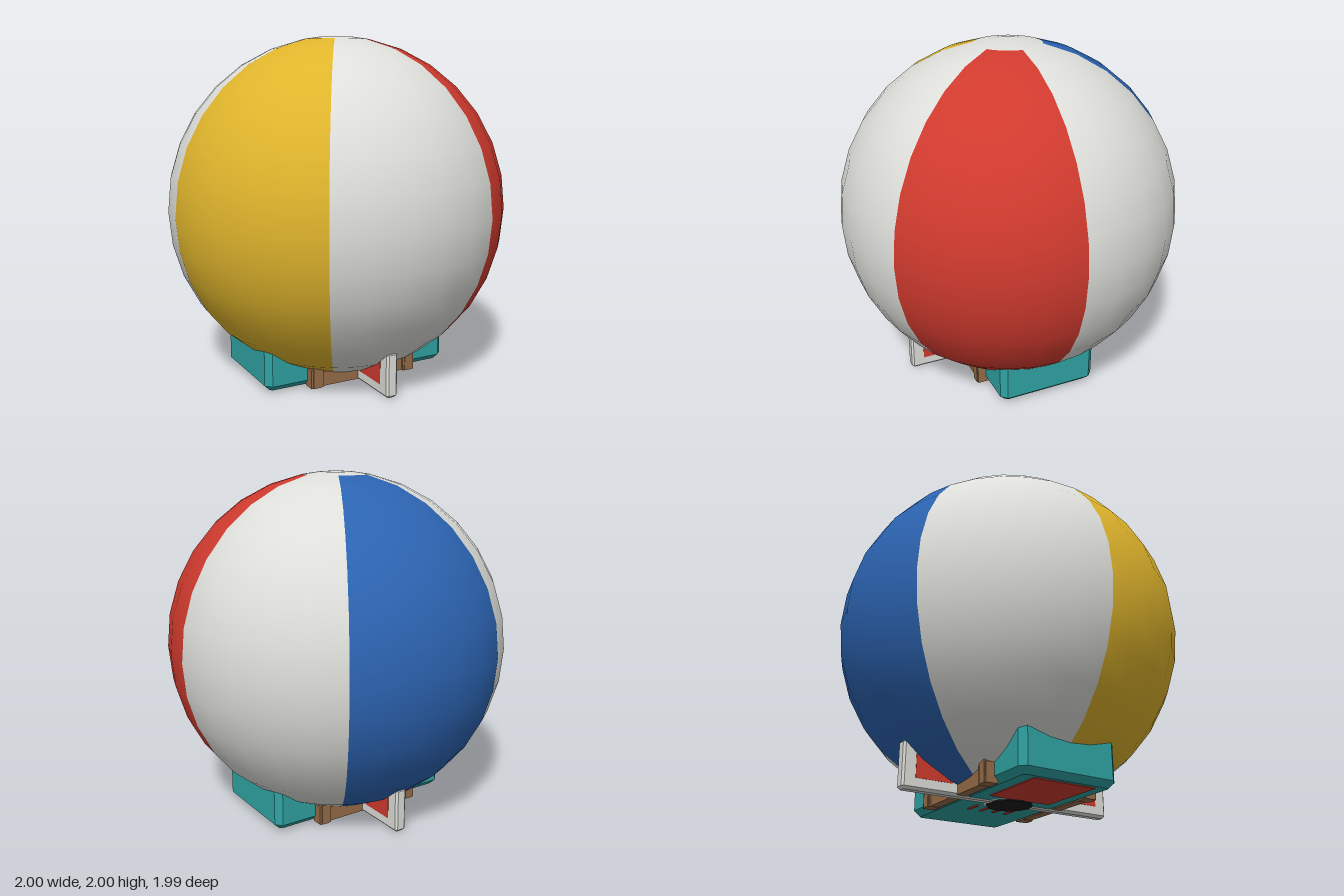
import * as THREE from 'three';

const mat = (name, color, side = THREE.FrontSide) => {
  const m = new THREE.MeshStandardMaterial({ color, side });
  m.name = name;
  return m;
};

// Box with cut corners in plan and bevelled rims, x/z half sizes, y range
function chamferBox(hx, hz, y0, y1, cut, bevel) {
  const w = hx - bevel, d = hz - bevel, c = Math.max(cut - bevel * 0.59, 0.002);
  const pts = [[w, -d + c], [w, d - c], [w - c, d], [-w + c, d],
    [-w, d - c], [-w, -d + c], [-w + c, -d], [w - c, -d]];
  const shape = new THREE.Shape(pts.map(([x, z]) => new THREE.Vector2(x, z)));
  const geo = new THREE.ExtrudeGeometry(shape, {
    depth: y1 - y0 - 2 * bevel, bevelEnabled: true, bevelSegments: 1,
    bevelSize: bevel, bevelThickness: bevel,
  });
  geo.rotateX(-Math.PI / 2);
  geo.translate(0, y0 + bevel, 0);
  return geo;
}

export function createModel() {
  const model = new THREE.Group();
  model.name = 'beachBallOnStand';
  const white = mat('white', 0xdededa);
  const red = mat('red', 0xd03a2e);
  const yellow = mat('yellow', 0xe0b52c);
  const blue = mat('blue', 0x2c64b2);
  const teal = mat('teal', 0x2fa3a3);
  const brown = mat('brown', 0x966c48);
  const black = mat('black', 0x1c1c1c);

  const add = (name, geo, material, x = 0, y = 0, z = 0, parent = model) => {
    const mesh = new THREE.Mesh(geo, material);
    mesh.name = name;
    mesh.position.set(x, y, z);
    parent.add(mesh);
    return mesh;
  };

  // Ball: six gores and two round caps
  const ball = new THREE.Group();
  ball.name = 'ball';
  ball.position.y = 1;
  model.add(ball);
  const ring = Math.PI / 16;
  [yellow, white, red, white, blue, white].forEach((m, i) => {
    const gore = new THREE.SphereGeometry(1, 5, 14, i * Math.PI / 3, Math.PI / 3, ring, Math.PI - 2 * ring);
    add('ballPanel' + (i + 1), gore, m, 0, 0, 0, ball);
  });
  add('topCap', new THREE.SphereGeometry(1, 30, 1, 0, Math.PI * 2, 0, ring), white, 0, 0, 0, ball);
  add('bottomCap', new THREE.SphereGeometry(1, 30, 1, 0, Math.PI * 2, Math.PI - ring, ring), white, 0, 0, 0, ball);

  // Teal cradle; its top lies inside the ball
  add('cradle', chamferBox(0.597, 0.3, 0.01, 0.285, 0.035, 0.035), teal);

  // Brown side rails with thicker end brackets
  for (const s of [-1, 1]) {
    add('sideRail', new THREE.BoxGeometry(0.6, 0.085, 0.06), brown, 0, 0.0525, s * 0.31);
    for (const e of [-1, 1]) {
      add('railBracket', new THREE.BoxGeometry(0.075, 0.11, 0.07), brown, e * 0.307, 0.063, s * 0.315);
      add('bracketBand', new THREE.BoxGeometry(0.05, 0.12, 0.07), brown, e * 0.307, 0.068, s * 0.32);
    }
  }

  // White cross fin with red side panels
  add('fin', chamferBox(0.035, 0.665, 0.002, 0.268, 0.012, 0.015), white);
  for (const s of [-1, 1]) {
    for (const e of [-1, 1]) {
      add('finPanel', new THREE.BoxGeometry(0.004, 0.17, 0.22), red, e * 0.035, 0.15, s * 0.48);
    }
  }

  // Underside plates
  add('undersidePanel', new THREE.BoxGeometry(0.42, 0.006, 0.38), red, -0.33, 0.008, 0);
  add('undersidePatch', new THREE.CylinderGeometry(0.13, 0.13, 0.008, 12), black, 0, 0.004, 0.01);
  for (let i = 0; i < 4; i++) {
    add('undersideStripe', new THREE.BoxGeometry(0.1, 0.006, 0.02), red, 0.16, 0.008, -0.13 + i * 0.08);
  }
  return model;
}
